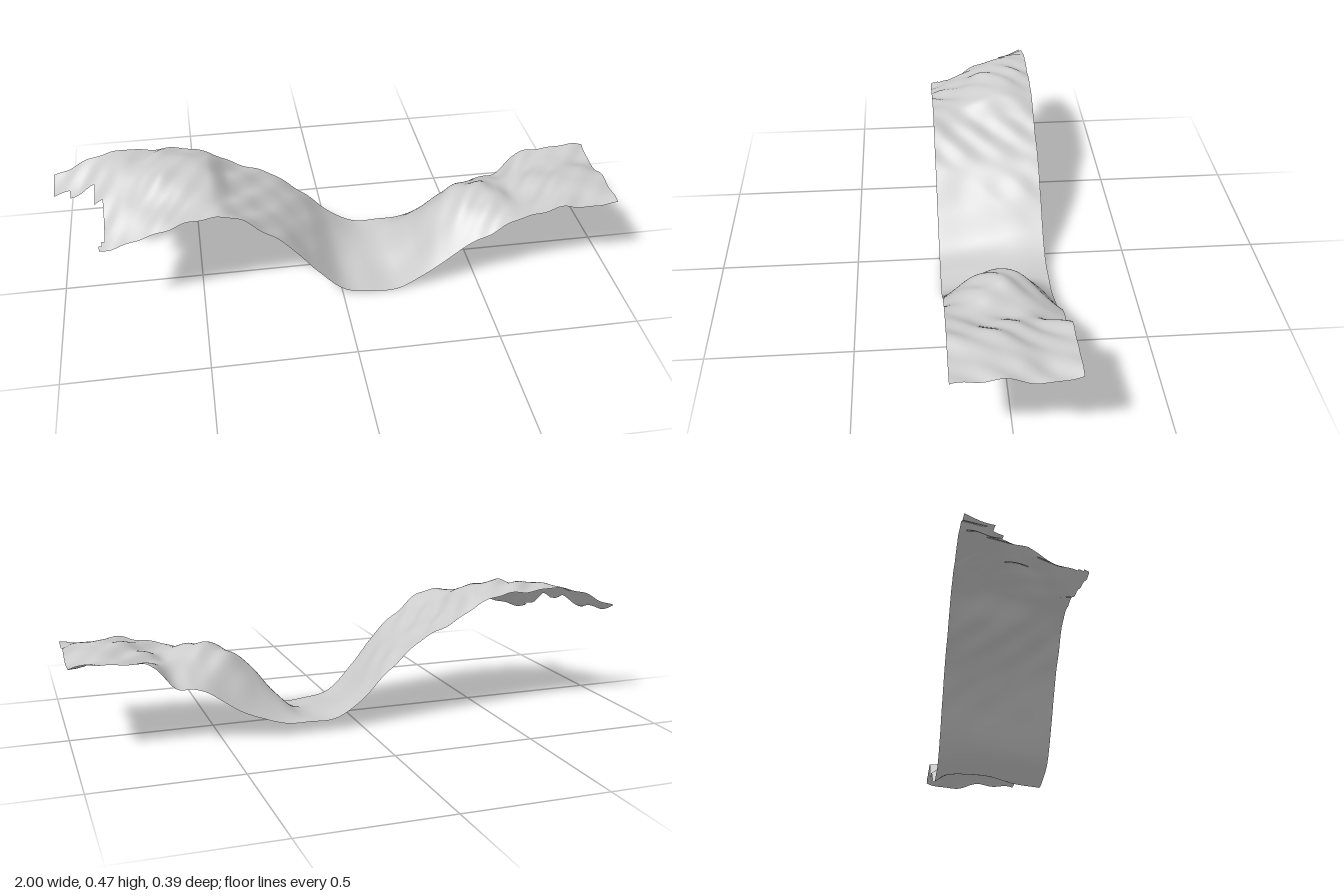
import * as THREE from 'three';

// Cross-sections along the strip: x, then heights from the front edge to the back edge
const SECTIONS = [
  [-1.0, 0.29, 0.31, 0.325, 0.335, 0.37],
  [-0.9, 0.295, 0.32, 0.345, 0.37, 0.41],
  [-0.82, 0.30, 0.34, 0.39, 0.42, 0.445],
  [-0.75, 0.32, 0.37, 0.42, 0.455, 0.455],
  [-0.68, 0.34, 0.385, 0.43, 0.46, 0.445],
  [-0.6, 0.365, 0.40, 0.455, 0.467, 0.45],
  [-0.45, 0.40, 0.405, 0.435, 0.445, 0.42],
  [-0.38, 0.385, 0.37, 0.37, 0.38, 0.375],
  [-0.3, 0.335, 0.33, 0.33, 0.335, 0.34],
  [-0.2, 0.25, 0.26, 0.27, 0.28, 0.285],
  [-0.1, 0.13, 0.15, 0.18, 0.20, 0.205],
  [0.0, 0.03, 0.045, 0.07, 0.095, 0.105],
  [0.1, 0.006, 0.02, 0.035, 0.045, 0.045],
  [0.2, 0.004, 0.015, 0.04, 0.045, 0.042],
  [0.28, 0.045, 0.07, 0.11, 0.10, 0.045],
  [0.36, 0.10, 0.17, 0.21, 0.16, 0.07],
  [0.45, 0.17, 0.25, 0.28, 0.23, 0.11],
  [0.54, 0.215, 0.28, 0.30, 0.25, 0.175],
  [0.6, 0.25, 0.28, 0.28, 0.25, 0.20],
  [0.66, 0.275, 0.265, 0.26, 0.25, 0.205],
  [0.72, 0.29, 0.28, 0.285, 0.28, 0.28],
  [0.8, 0.30, 0.315, 0.31, 0.29, 0.305],
  [0.9, 0.295, 0.315, 0.32, 0.30, 0.31],
  [1.0, 0.30, 0.31, 0.305, 0.285, 0.31],
];
const XS = SECTIONS.map((s) => s[0]);
const ZS = [0, 1, 2, 3, 4];
const HALF_DEPTH = 0.195;

// Smooth curve through unevenly spaced samples
function spline(ts, vs, t) {
  const last = ts.length - 1;
  let i = 0;
  while (i < last - 1 && t > ts[i + 1]) i++;
  const slope = (k) => {
    const a = Math.max(k - 1, 0), b = Math.min(k + 1, last);
    return (vs[b] - vs[a]) / (ts[b] - ts[a]);
  };
  const h = ts[i + 1] - ts[i], u = (t - ts[i]) / h, u2 = u * u, u3 = u2 * u;
  return (2 * u3 - 3 * u2 + 1) * vs[i] + (u3 - 2 * u2 + u) * h * slope(i)
    + (3 * u2 - 2 * u3) * vs[i + 1] + (u3 - u2) * h * slope(i + 1);
}

// Diagonal ripples, fading out on the smooth valley floor
function ripple(x, z, y) {
  const d = x + z;
  const fade = THREE.MathUtils.smoothstep(y, 0.08, 0.3);
  return 0.003 * fade * (Math.sin(38 * d + 9 * z) + Math.sin(61 * d - 17 * z + 1.3)
    + 0.6 * Math.sin(27 * x - 40 * z));
}

// Broken, stepped outline of the left-hand end
function startX(z) {
  if (z < -0.105) return -1;
  if (z < -0.08) return -0.94;
  if (z < 0.015) return -0.85;
  return z < 0.165 ? -0.82 : -0.82 - (z - 0.165);
}

function terrainGeometry(nx = 200, nz = 26) {
  const positions = [], index = [];
  for (let i = 0; i <= nx; i++) {
    const x = -1 + (2 * i) / nx;
    const section = ZS.map((k) => spline(XS, SECTIONS.map((s) => s[k + 1]), x));
    for (let j = 0; j <= nz; j++) {
      const z = HALF_DEPTH * (1 - (2 * j) / nz);
      const y = spline(ZS, section, (4 * j) / nz);
      positions.push(x, Math.max(0, y + ripple(x, z, y)), z);
    }
  }
  // Keep only the cells inside the outline
  for (let i = 0; i < nx; i++) {
    for (let j = 0; j < nz; j++) {
      const xMid = -1 + (2 * i + 1) / nx;
      const zMid = HALF_DEPTH * (1 - (2 * j + 1) / nz);
      if (xMid < startX(zMid)) continue;
      const a = i * (nz + 1) + j, b = a + nz + 1;
      index.push(a, b, b + 1, a, b + 1, a + 1);
    }
  }
  const geometry = new THREE.BufferGeometry();
  geometry.setAttribute('position', new THREE.Float32BufferAttribute(positions, 3));
  geometry.setIndex(index);
  geometry.computeVertexNormals();
  return geometry;
}

export function createModel() {
  const group = new THREE.Group();
  group.name = 'terrainStrip';
  const material = new THREE.MeshStandardMaterial({ color: 0xcccccc, side: THREE.DoubleSide });
  const ground = new THREE.Mesh(terrainGeometry(), material);
  ground.name = 'valleySurface';
  group.add(ground);
  return group;
}
